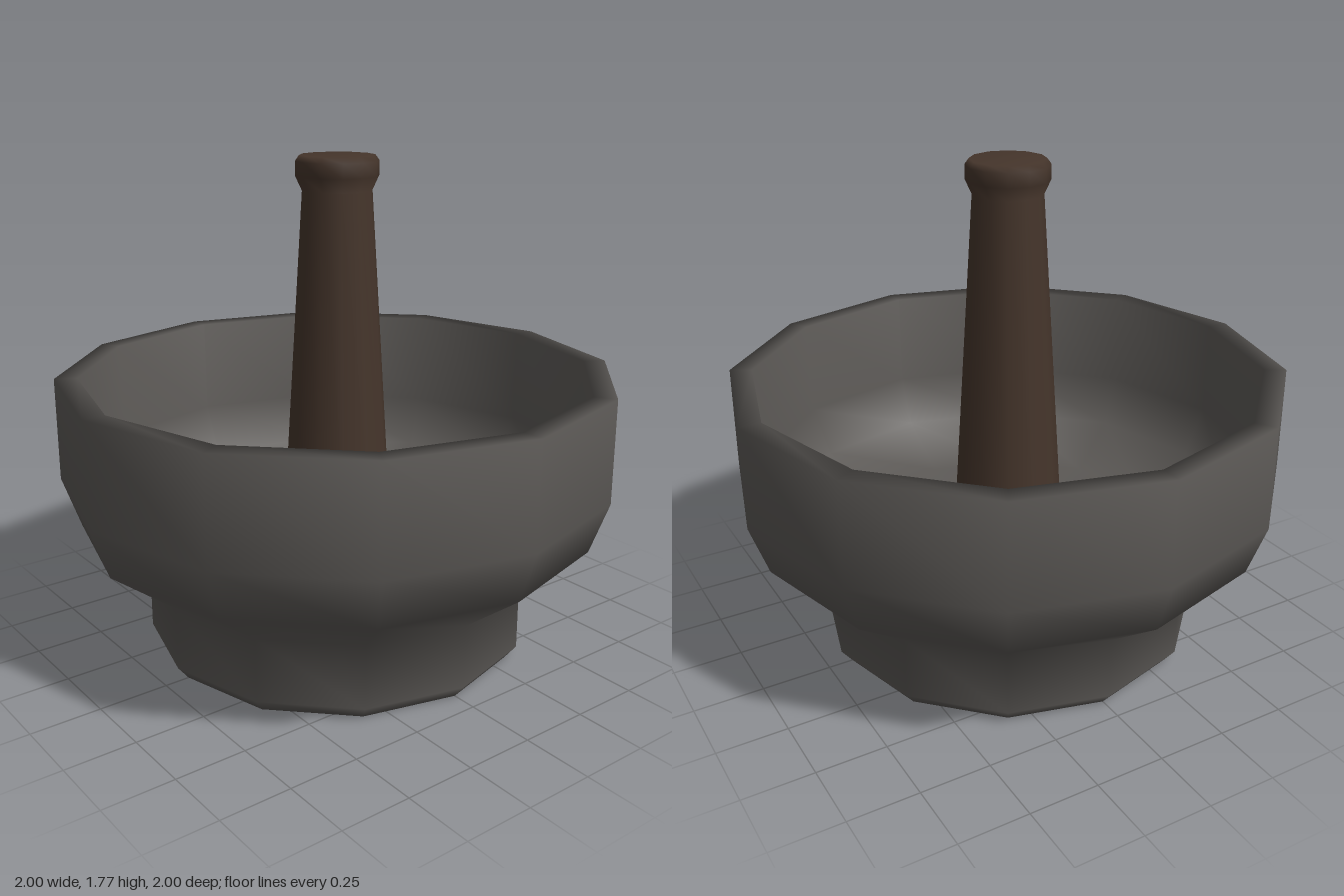
import * as THREE from 'three';

const SIDES = 12;

// Smooth twelve-sided turned shape from [radius, height] pairs
function turned(name, profile, material) {
  const points = profile.map(([r, y]) => new THREE.Vector2(r, y));
  const mesh = new THREE.Mesh(new THREE.LatheGeometry(points, SIDES), material);
  mesh.name = name;
  return mesh;
}

export function createModel() {
  const stone = new THREE.MeshStandardMaterial({ color: 0x5b5855 });
  stone.name = 'grey stone';
  const wood = new THREE.MeshStandardMaterial({ color: 0x45352b });
  wood.name = 'dark wood';

  const model = new THREE.Group();
  model.name = 'mortarAndPestle';

  // Foot, flared outer wall, flat rim and deep hollow inside
  model.add(turned('mortar', [
    [0, 0], [0.66, 0], [0.7, 0.05], [0.7, 0.28], [0.935, 0.46], [1, 0.645],
    [1, 1.015], [0.92, 1.015], [0.915, 0.66], [0.84, 0.48], [0.61, 0.35], [0, 0.32],
  ], stone));

  // Tapered shaft with a rounded end on the bowl floor and a knob on top
  model.add(turned('pestle', [
    [0, 0.32], [0.14, 0.34], [0.185, 0.42], [0.193, 0.54], [0.123, 1.655],
    [0.146, 1.705], [0.146, 1.755], [0.132, 1.775], [0, 1.775],
  ], wood));

  return model;
}
